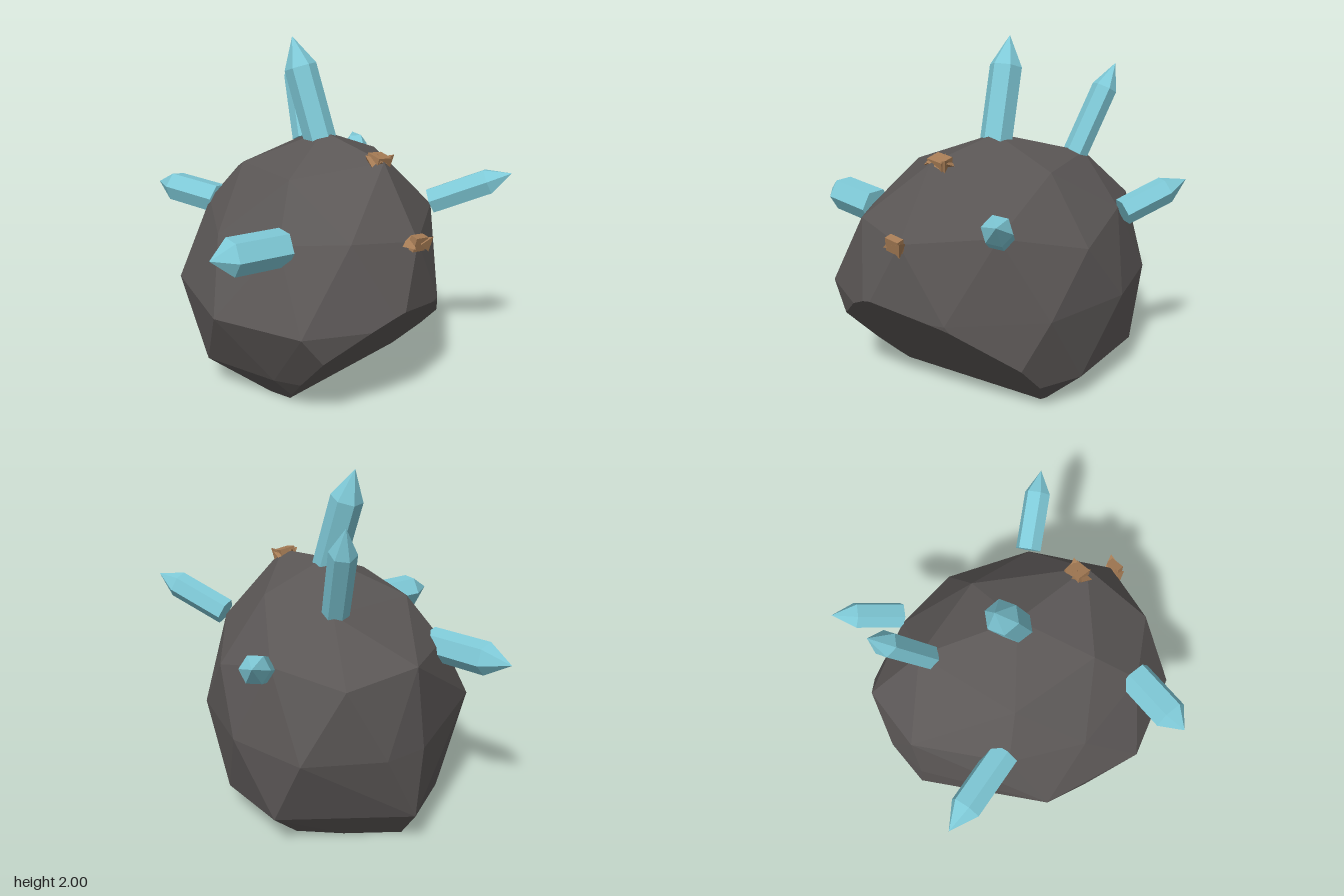
import * as THREE from 'three';
import { ConvexGeometry } from 'three/addons/geometries/ConvexGeometry.js';

const rockGrey = new THREE.MeshStandardMaterial({ color: 0x5b5756 });
rockGrey.name = 'rock grey';
const crystalBlue = new THREE.MeshStandardMaterial({ color: 0x7fcad8 });
crystalBlue.name = 'crystal blue';
const oreBrown = new THREE.MeshStandardMaterial({ color: 0xa67c55 });
oreBrown.name = 'ore brown';

const V = (x, y, z) => new THREE.Vector3(x, y, z);

// Faceted look: every face gets its own normal
function facet(geometry) {
  const g = geometry.index ? geometry.toNonIndexed() : geometry;
  g.computeVertexNormals();
  return g;
}

function part(name, geometry, material) {
  const mesh = new THREE.Mesh(geometry, material);
  mesh.name = name;
  return mesh;
}

// Cut a convex point set with a plane, keeping the side where normal·p <= offset
function cut(points, normal, offset) {
  const dist = (p) => normal.dot(p) - offset;
  const inside = points.filter((p) => dist(p) <= 0);
  const outside = points.filter((p) => dist(p) > 0);
  const kept = [...inside];
  for (const a of inside) {
    for (const b of outside) {
      const da = dist(a), db = dist(b);
      if (db - da > 1e-6) kept.push(a.clone().lerp(b, -da / (db - da)));
    }
  }
  // keep only the corners so the next cut stays small
  const pos = new ConvexGeometry(kept).attributes.position;
  const unique = new Map();
  for (let i = 0; i < pos.count; i++) {
    const p = V(0, 0, 0).fromBufferAttribute(pos, i);
    unique.set(p.toArray().map((n) => n.toFixed(4)).join(), p);
  }
  return [...unique.values()];
}

// Boulder: stretched icosphere rings, knocked corners, two flat cuts
function makeRock() {
  const rings = [ // height, radius, count, first angle
    [0.851, 0.526, 5, 0], [0.526, 0.851, 5, 36], [0.447, 0.894, 5, 0],
    [0, 1, 10, 18],
    [-0.447, 0.894, 5, 36], [-0.526, 0.851, 5, 0], [-0.851, 0.526, 5, 36],
  ];
  const moved = { // ring:index -> knocked corner
    '0:0': [0.5, 1.31, 0], '0:1': [0.14, 1.4, 0.56], '0:2': [-0.29, 1.3, 0.28],
    '0:3': [-0.27, 1.27, -0.27], '0:4': [0.32, 1.31, -0.5],
    '1:2': [-0.59, 0.96, 0], '1:3': [-0.01, 1.07, -0.82], '1:4': [0.65, 1.05, -0.42],
    '2:0': [0.78, 0.94, 0], '2:1': [0.18, 1.02, 0.82], '2:2': [-0.48, 1.02, 0.48],
    '2:3': [-0.42, 1.02, -0.43], '2:4': [0.41, 1.01, -0.82],
    '3:1': [0.42, 0.6, 0.73], '3:3': [-0.52, 0.6, 0.76], '3:5': [-0.68, 0.6, -0.34],
    '3:6': [-0.05, 0.6, -0.84], '3:7': [0.2, 0.6, -0.885], '3:8': [0.63, 0.6, -0.73],
    '3:9': [0.82, 0.6, -0.27],
    '4:0': [0.65, 0.18, 0.5], '4:2': [-0.68, 0.2, 0], '4:3': [-0.2, 0.2, -0.6],
    '4:4': [0.7, 0.2, -0.53],
    '5:0': [0.76, 0.16, 0], '5:2': [-0.49, 0.2, 0.43], '5:3': [-0.39, 0.1, -0.47],
    '5:4': [0, 0.2, -0.855],
    '6:0': [0.44, -0.15, 0.2], '6:1': [-0.18, -0.15, 0.4], '6:2': [-0.17, -0.13, -0.1],
    '6:3': [-0.03, -0.15, -0.56], '6:4': [0.37, -0.15, -0.3],
  };
  let points = [V(0.1, 1.47, 0.03), V(0, -0.28, 0)];
  rings.forEach(([h, r, count, first], ring) => {
    for (let i = 0; i < count; i++) {
      const a = THREE.MathUtils.degToRad(first + (i * 360) / count);
      const m = moved[`${ring}:${i}`];
      points.push(m ? V(...m) : V(0.82 * r * Math.cos(a), 0.6 + 0.88 * h, 0.94 * r * Math.sin(a)));
    }
  });
  points = cut(points, V(0.23, -0.95, 1), 0.277); // sloping front underside
  points = cut(points, V(0, -1, 0), 0); // ground
  return part('rock', new ConvexGeometry(points), rockGrey);
}

// Six-sided crystal running from its base centre to its tip
function makeCrystal(name, base, tip, r, point) {
  const from = V(...base), dir = V(...tip).sub(from), h = dir.length();
  const profile = [[0, 0], [r, 0], [r, h - point], [0, h]].map((p) => new THREE.Vector2(...p));
  const mesh = part(name, facet(new THREE.LatheGeometry(profile, 6)), crystalBlue);
  mesh.position.copy(from);
  mesh.quaternion.setFromUnitVectors(V(0, 1, 0), dir.normalize());
  return mesh;
}

// Small lump of ore: a tilted block with jagged splinters
function makeOre(name, position, size, splinters) {
  const group = new THREE.Group();
  group.name = name;
  const block = part('oreBlock', new THREE.BoxGeometry(...size), oreBrown);
  block.rotation.set(0.2, 0.1, -0.15);
  group.add(block);
  for (let i = 0; i < splinters; i++) {
    const a = 0.5 + (i * Math.PI * 2) / splinters;
    const s = part('oreSplinter', facet(new THREE.TetrahedronGeometry(0.055)), oreBrown);
    s.position.set(0.048 * Math.cos(a), -0.005, 0.025 * Math.sin(a));
    s.rotation.set(a, 2 * a, 0.4);
    group.add(s);
  }
  group.position.set(...position);
  return group;
}

export function createModel() {
  const model = new THREE.Group();
  model.name = 'crystalRock';
  model.add(makeRock());

  const crystals = [ // name, base, tip, radius, length of the point
    ['topCrystal', [0.09, 1.41, 0.02], [0.015, 2, -0.17], 0.095, 0.18],
    ['backCrystal', [0.285, 1.3, -0.46], [0.36, 1.82, -0.72], 0.075, 0.16],
    ['rightFrontCrystal', [-0.45, 1.01, 0.48], [-0.89, 1.03, 0.49], 0.105, 0.12],
    ['leftFrontCrystal', [0.57, 1.08, 0.47], [0.87, 1.28, 0.8], 0.08, 0.14],
    ['leftBackCrystal', [0.7, 1.04, -0.4], [0.88, 1.2, -0.75], 0.08, 0.14],
    ['rightBackCrystal', [-0.355, 1.01, -0.42], [-0.53, 1.02, -0.935], 0.095, 0.16],
  ];
  for (const c of crystals) model.add(makeCrystal(...c));

  model.add(makeOre('upperOre', [0.15, 1.395, 0.5], [0.1, 0.06, 0.09], 5));
  model.add(makeOre('frontOre', [0.165, 1.02, 0.835], [0.09, 0.08, 0.045], 2));
  return model;
}
